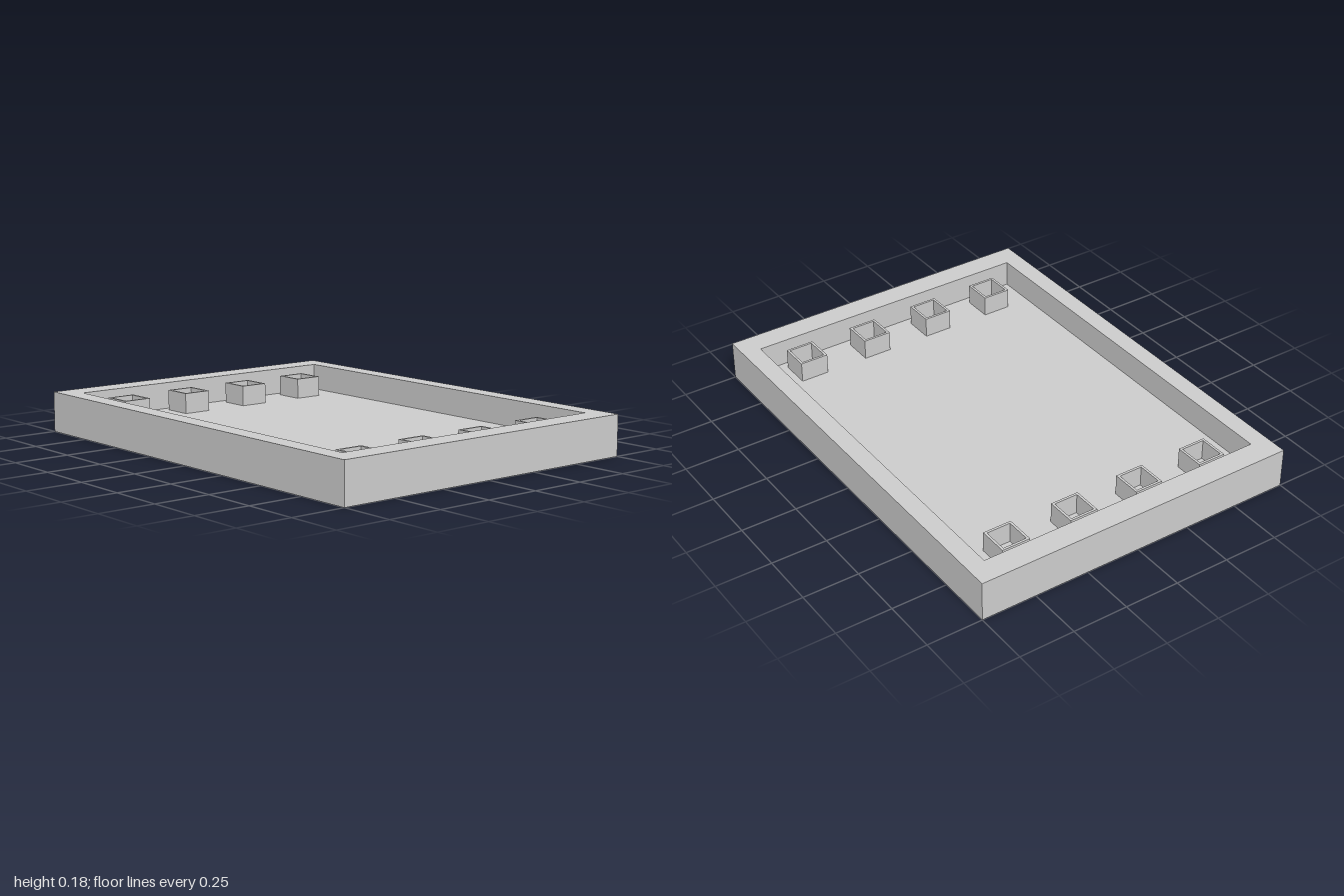
import * as THREE from 'three';

const material = new THREE.MeshStandardMaterial({ color: 0xcccccc });

function rectangle(target, w, d) {
  target.moveTo(-w / 2, -d / 2);
  target.lineTo(w / 2, -d / 2);
  target.lineTo(w / 2, d / 2);
  target.lineTo(-w / 2, d / 2);
  target.closePath();
  return target;
}

// Upright rectangular ring, standing on y = 0
function frameGeometry(w, d, innerW, innerD, height) {
  const shape = rectangle(new THREE.Shape(), w, d);
  shape.holes.push(rectangle(new THREE.Path(), innerW, innerD));
  const geometry = new THREE.ExtrudeGeometry(shape, { depth: height, bevelEnabled: false });
  return geometry.rotateX(-Math.PI / 2);
}

export function createModel() {
  const model = new THREE.Group();
  model.name = 'tray';
  const width = 2, depth = 1.5, height = 0.18, floorTop = 0.06;
  const innerW = 1.78, innerD = 1.333;

  // Tray rim: the four walls
  const rim = new THREE.Mesh(frameGeometry(width, depth, innerW, innerD, height), material);
  rim.name = 'rim';
  model.add(rim);

  // Floor plate inside the rim
  const floor = new THREE.Mesh(new THREE.BoxGeometry(innerW, floorTop, innerD), material);
  floor.name = 'floor';
  floor.position.y = floorTop / 2;
  model.add(floor);

  // Two rows of four open square sockets
  const socketGeometry = frameGeometry(0.134, 0.131, 0.112, 0.109, 0.092);
  for (const [side, name] of [[1, 'left'], [-1, 'right']]) {
    for (let i = 0; i < 4; i++) {
      const socket = new THREE.Mesh(socketGeometry, material);
      socket.name = `${name}Socket${i + 1}`;
      socket.position.set(side * 0.786, floorTop, (i - 1.5) * 0.327);
      model.add(socket);
    }
  }
  return model;
}
